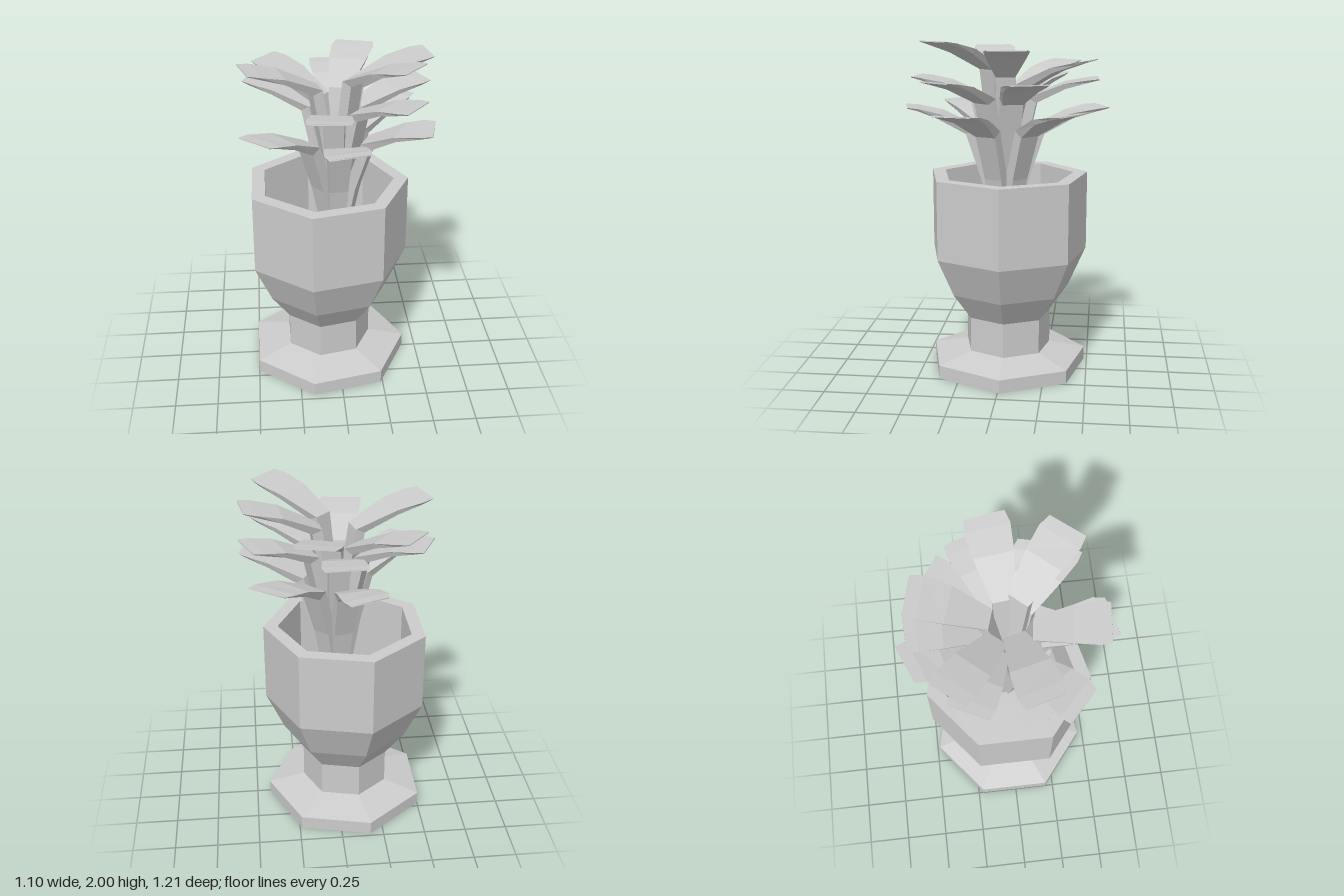
import * as THREE from 'three';

const grey = () => new THREE.MeshStandardMaterial({ color: 0xcccccc, flatShading: true, side: THREE.DoubleSide });

// Leaf growing towards +z: rectangular cross-sections [reach, height, half width, thickness]
function leafGeometry(sections, slant) {
  const pos = [], idx = [];
  sections.forEach(([r, y, w, t], i) => {
    const prev = sections[Math.max(i - 1, 0)], next = sections[Math.min(i + 1, sections.length - 1)];
    const dir = new THREE.Vector2(next[0] - prev[0], next[1] - prev[1]).normalize();
    const nz = -dir.y * t / 2, ny = dir.x * t / 2;
    const s = i >= sections.length - 2 ? slant : 0;
    pos.push(
      -w, y + ny, r + nz + s,
      w, y + ny, r + nz - s,
      w * 0.92, y - ny, r - nz - s,
      -w * 0.92, y - ny, r - nz + s);
  });
  for (let i = 0; i < sections.length - 1; i++) {
    for (let k = 0; k < 4; k++) {
      const a = i * 4 + k, b = i * 4 + (k + 1) % 4;
      idx.push(a, a + 4, b, b, a + 4, b + 4);
    }
  }
  const e = (sections.length - 1) * 4;
  idx.push(0, 1, 2, 0, 2, 3, e, e + 2, e + 1, e, e + 3, e + 2);
  const g = new THREE.BufferGeometry();
  g.setAttribute('position', new THREE.Float32BufferAttribute(pos, 3));
  g.setIndex(idx);
  g.computeVertexNormals();
  return g;
}

// Each tier: a leaf shape and its [compass angle, tip height offset] list
const tiers = [
  {
    name: 'lowerLeaf', slant: 0.02,
    sections: [[0.02, 0.75, 0.04, 0.05], [0.11, 1.2, 0.06, 0.06], [0.2, 1.47, 0.07, 0.06],
      [0.38, 1.56, 0.115, 0.03], [0.51, 1.595, 0.13, 0.014], [0.575, 1.605, 0.115, 0.006]],
    leaves: [[3, 0], [66, 0], [135, 0], [192, 0], [307, 0]],
  },
  {
    name: 'middleLeaf', slant: 0.004,
    sections: [[0.01, 0.75, 0.04, 0.05], [0.07, 1.25, 0.055, 0.06], [0.16, 1.65, 0.065, 0.06],
      [0.35, 1.735, 0.11, 0.03], [0.48, 1.765, 0.125, 0.014], [0.54, 1.775, 0.115, 0.006]],
    leaves: [[-8, 0], [50, 0], [110, 0], [180, 0], [242, 0]],
  },
  {
    name: 'upperLeaf', slant: 0.004,
    sections: [[0, 0.75, 0.04, 0.05], [0.04, 1.3, 0.05, 0.06], [0.12, 1.79, 0.06, 0.06],
      [0.32, 1.89, 0.11, 0.03], [0.46, 1.93, 0.125, 0.014], [0.53, 1.945, 0.11, 0.006]],
    leaves: [[48, 0.05], [97, 0.01], [163, -0.06], [229, -0.09], [284, -0.01]],
  },
];

export function createModel() {
  const model = new THREE.Group();
  model.name = 'pottedPlant';

  // Seven-sided pot: foot, neck, bowl, rim and hollow inside
  const profile = [
    [0, 0], [0.484, 0], [0.484, 0.08], [0.263, 0.13], [0.263, 0.34], [0.379, 0.5],
    [0.484, 0.73], [0.484, 1.2], [0.4, 1.2], [0.4, 0.75], [0.31, 0.54], [0, 0.54],
  ].map(([x, y]) => new THREE.Vector2(x, y));
  const pot = new THREE.Mesh(new THREE.LatheGeometry(profile, 7, Math.PI / 2), grey());
  pot.name = 'pot';
  pot.position.set(-0.064, 0, -0.01);
  model.add(pot);

  // Three tiers of leaves fanned around the centre
  const plant = new THREE.Group();
  plant.name = 'plant';
  for (const { name, slant, sections, leaves } of tiers) {
    leaves.forEach(([angle, lift], i) => {
      const lifted = sections.map(([r, y, w, t], k) => [r, y + (k > 1 ? lift : 0), w, t]);
      const leaf = new THREE.Mesh(leafGeometry(lifted, slant), grey());
      leaf.name = name + (i + 1);
      leaf.rotation.y = THREE.MathUtils.degToRad(angle);
      plant.add(leaf);
    });
  }
  plant.position.x = -0.01;
  model.add(plant);
  return model;
}
